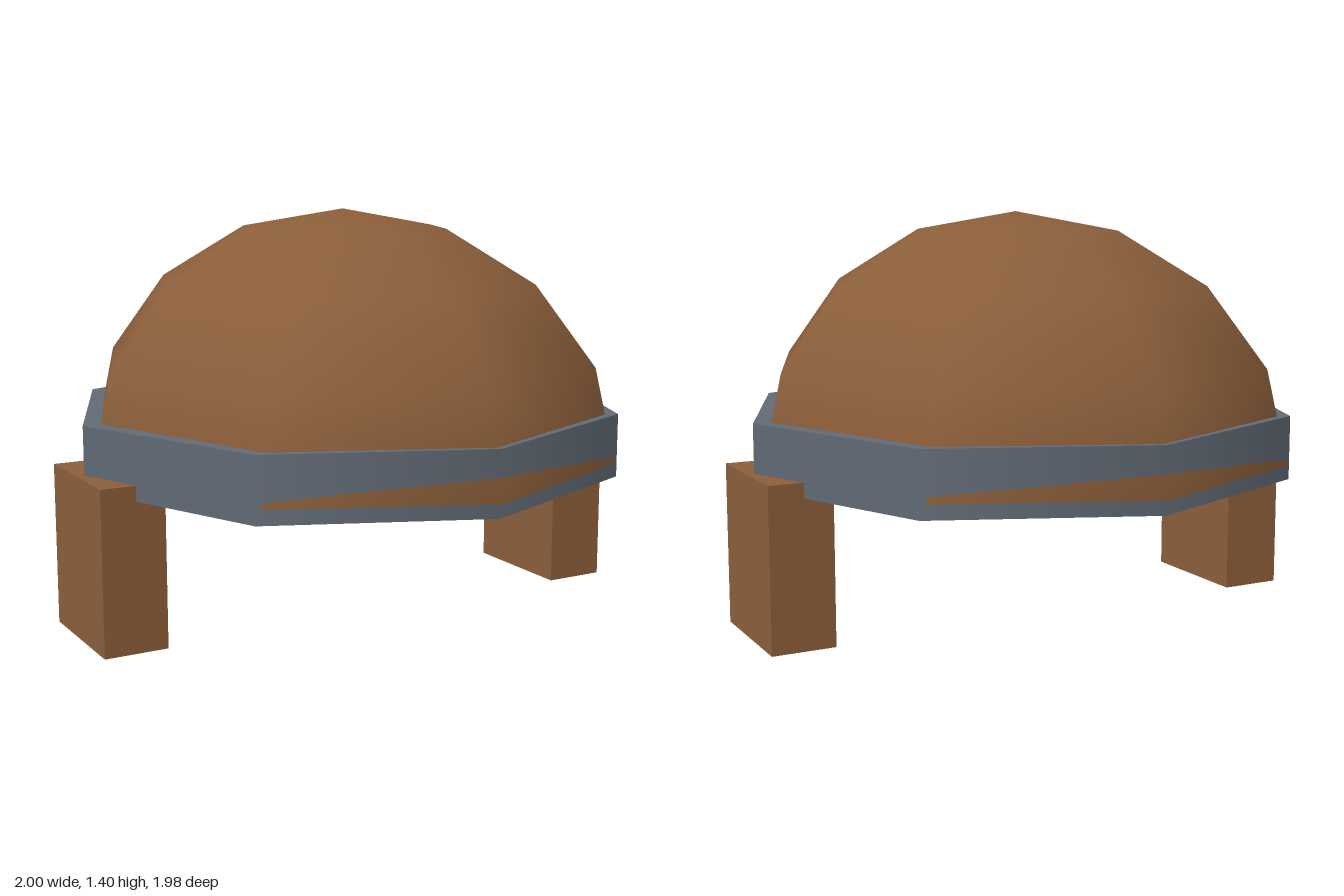
import * as THREE from 'three';

export function createModel() {
  const brown = new THREE.MeshStandardMaterial({ color: 0x8b5e3a });
  brown.name = 'brown';
  const slate = new THREE.MeshStandardMaterial({ color: 0x616a75 });
  slate.name = 'slate grey';

  const model = new THREE.Group();
  model.name = 'domedBody';
  const add = (name, geometry, material, x, y, z) => {
    const mesh = new THREE.Mesh(geometry, material);
    mesh.name = name;
    mesh.position.set(x, y, z);
    model.add(mesh);
    return mesh;
  };

  // Eight-sided smooth dome, slightly longer than wide; its tips poke through the rim
  const dome = new THREE.SphereGeometry(1, 8, 4, 0, Math.PI * 2, 0, Math.PI / 2);
  dome.scale(0.945, 0.85, 0.99);
  add('dome', dome, brown, 0, 0.555, 0);

  // Closed eight-sided rim around the base of the dome
  add('rim', new THREE.CylinderGeometry(0.972, 0.972, 0.217, 8), slate, 0, 0.6135, 0);

  // One block foot on each side
  for (const [name, side] of [['leftFoot', 1], ['rightFoot', -1]]) {
    add(name, new THREE.BoxGeometry(0.22, 0.557, 0.444), brown, side * 0.89, 0.2785, 0);
  }

  return model;
}
